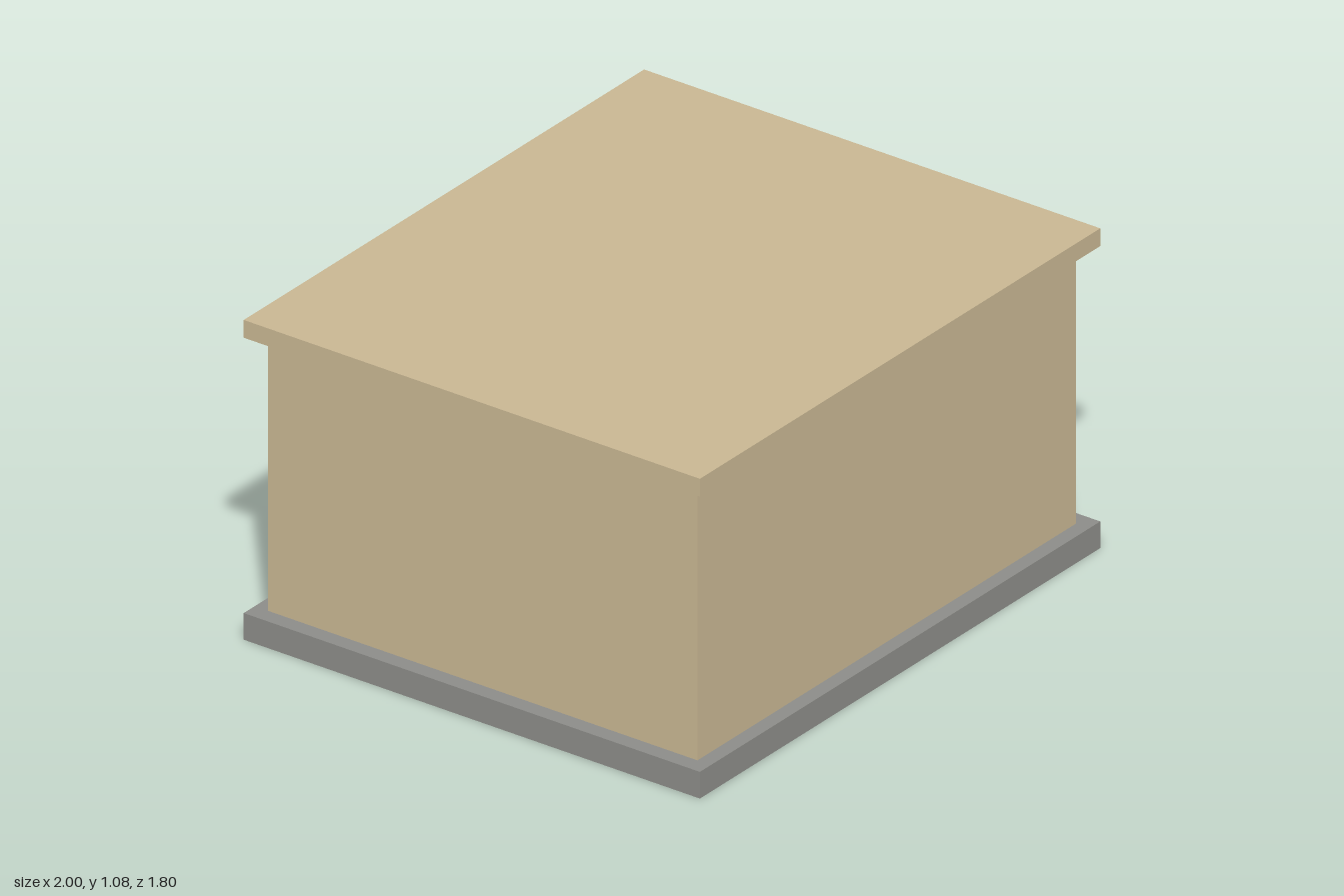
import * as THREE from 'three';

const mat = (name, color) => {
  const m = new THREE.MeshStandardMaterial({ color });
  m.name = name;
  return m;
};

export function createModel() {
  const house = new THREE.Group();
  house.name = 'house';
  const tan = mat('tan plaster', 0xc8b692);
  const grey = mat('grey concrete', 0x8c8c88);
  const brown = mat('door wood', 0x81562f);
  const dark = mat('dark wood', 0x55371d);
  const metal = mat('handle metal', 0xa0a0a0);

  const add = (name, geometry, material, parent = house) => {
    const mesh = new THREE.Mesh(geometry, material);
    mesh.name = name;
    parent.add(mesh);
    return mesh;
  };
  // box given by its minimum and maximum corners
  const box = (name, material, [x0, y0, z0], [x1, y1, z1], parent) => {
    const g = new THREE.BoxGeometry(x1 - x0, y1 - y0, z1 - z0);
    g.translate((x0 + x1) / 2, (y0 + y1) / 2, (z0 + z1) / 2);
    return add(name, g, material, parent);
  };
  const rect = (Type, x0, y0, x1, y1) => new Type([
    new THREE.Vector2(x0, y0), new THREE.Vector2(x1, y0),
    new THREE.Vector2(x1, y1), new THREE.Vector2(x0, y1),
  ]);
  const plate = (name, material, shape, z, depth, parent) => {
    const g = new THREE.ExtrudeGeometry(shape, { depth, bevelEnabled: false });
    g.translate(0, 0, z);
    return add(name, g, material, parent);
  };

  // base, body, roof slab and door step
  box('foundation', grey, [-1, 0, -0.8], [1, 0.09, 0.9]);
  box('walls', tan, [-0.945, 0.09, -0.72], [0.945, 1.02, 0.85]);
  box('roof', tan, [-1, 1.02, -0.8], [1, 1.08, 0.9]);
  box('doorStep', grey, [-0.2, 0.05, -0.9], [0.2, 0.1, -0.755]);

  // back wall with an opening for the door
  const W = 0.145, TOP = 0.735;
  const wall = new THREE.Shape([
    [-0.945, 0.09], [-W, 0.09], [-W, TOP], [W, TOP],
    [W, 0.09], [0.945, 0.09], [0.945, 1.02], [-0.945, 1.02],
  ].map(([x, y]) => new THREE.Vector2(x, y)));
  plate('backWall', tan, wall, -0.75, 0.03);

  // recessed door
  const door = new THREE.Group();
  door.name = 'door';
  house.add(door);
  for (const s of [-1, 1]) {
    const xs = [s * W, s * (W - 0.007)].sort((a, b) => a - b);
    box('doorJamb', dark, [xs[0], 0.09, -0.749], [xs[1], TOP, -0.72], door);
  }
  box('doorLintel', dark, [-W, TOP - 0.007, -0.749], [W, TOP, -0.72], door);

  const leaf = rect(THREE.Shape, -W + 0.007, 0.09, W - 0.007, TOP - 0.007);
  const panels = [[0.13, 0.365], [0.425, 0.69]];
  for (const [y0, y1] of panels) {
    leaf.holes.push(rect(THREE.Path, -0.108, y0, 0.108, y1));
    box('panelGroove', dark, [-0.108, y0, -0.725], [0.108, y1, -0.72], door);
    box('doorPanel', brown, [-0.095, y0 + 0.013, -0.732], [0.095, y1 - 0.013, -0.724], door);
  }
  plate('doorLeaf', brown, leaf, -0.736, 0.014, door);

  // handle
  const rose = add('handleRose', new THREE.CylinderGeometry(0.009, 0.009, 0.012, 16), metal, door);
  rose.rotation.x = Math.PI / 2;
  rose.position.set(-0.123, 0.385, -0.739);
  const knob = add('doorKnob', new THREE.SphereGeometry(0.009, 16, 12), metal, door);
  knob.position.set(-0.123, 0.385, -0.746);

  return house;
}
